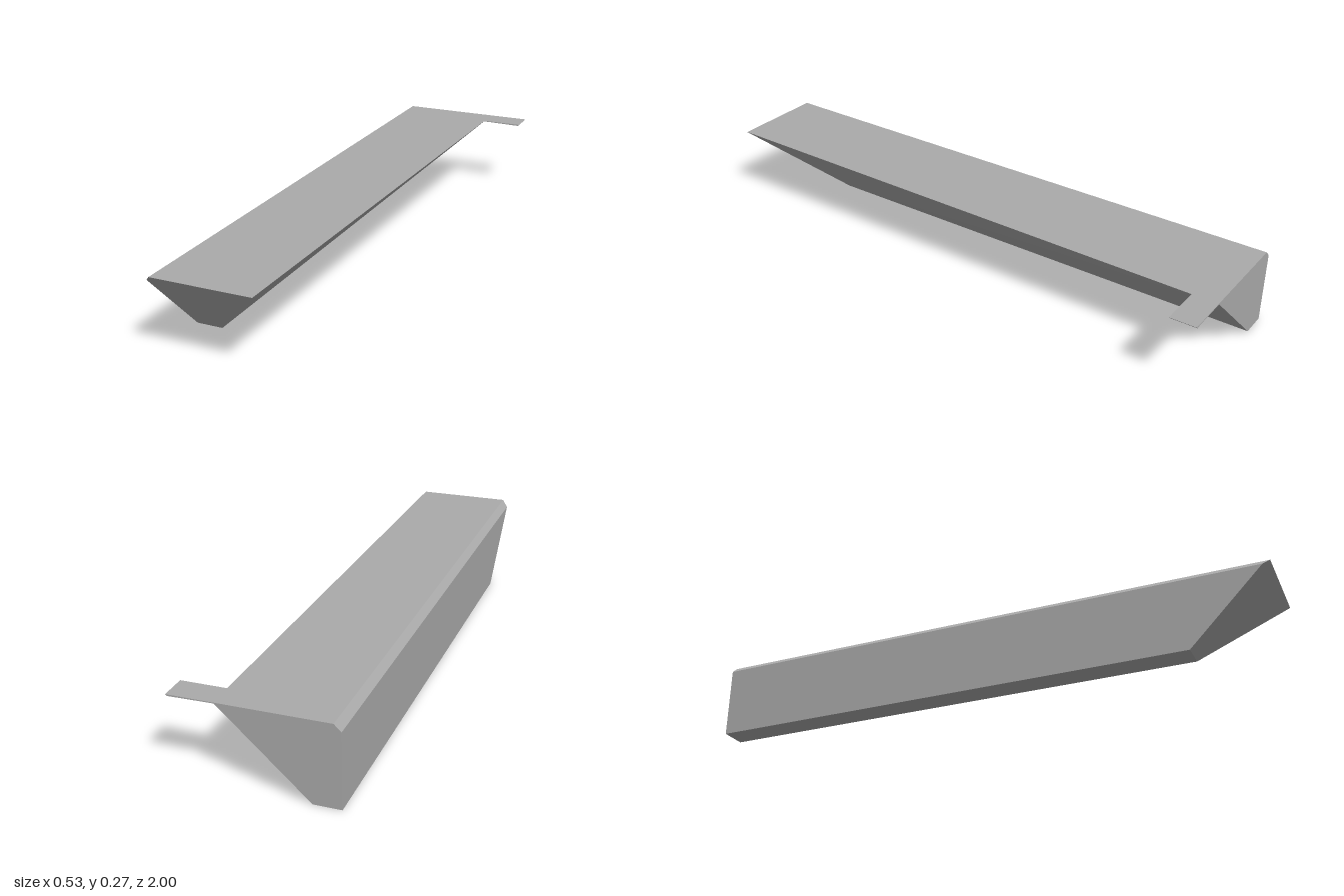
import * as THREE from 'three';

// Flat-faced solid lofted between two matching cross-sections (counter-clockwise seen from +z)
function loft(back, front) {
  const pos = [];
  const tri = (...pts) => pts.forEach((p) => pos.push(...p));
  const n = back.length;
  for (let i = 0; i < n; i++) {
    const j = (i + 1) % n;
    tri(back[i], back[j], front[i]);
    tri(back[j], front[j], front[i]);
    if (i > 0 && j > 0) {
      tri(front[0], front[i], front[j]);
      tri(back[0], back[j], back[i]);
    }
  }
  const geometry = new THREE.BufferGeometry();
  geometry.setAttribute('position', new THREE.Float32BufferAttribute(pos, 3));
  geometry.computeVertexNormals();
  return geometry;
}

export function createModel() {
  const group = new THREE.Group();
  const grey = new THREE.MeshStandardMaterial({ color: 0xaaaaaa });
  grey.name = 'grey';
  const add = (name, geometry) => {
    const mesh = new THREE.Mesh(geometry, grey);
    mesh.name = name;
    group.add(mesh);
  };

  // Long wedge body: chamfered top edge, sloping side, raked front end
  const H = 0.272;
  const section = (topX) => [[-0.268, 0], [-0.178, 0], [topX, H], [-0.245, H], [-0.268, 0.25]];
  const rake = (y) => 0.73 + (0.27 * y) / H;
  add('body', loft(
    section(0.116).map(([x, y]) => [x, y, -1]),
    section(0.095).map(([x, y]) => [x, y, rake(y)]),
  ));

  // Thin tab at the back corner with a small lip at its tip
  const tab = [[0.1, 0.2695], [0.25, 0.2695], [0.26, 0.267], [0.265, H], [0.1, H]];
  add('tab', loft(
    tab.map(([x, y]) => [x, y, -1]),
    tab.map(([x, y]) => [x, y, -0.91]),
  ));

  return group;
}
